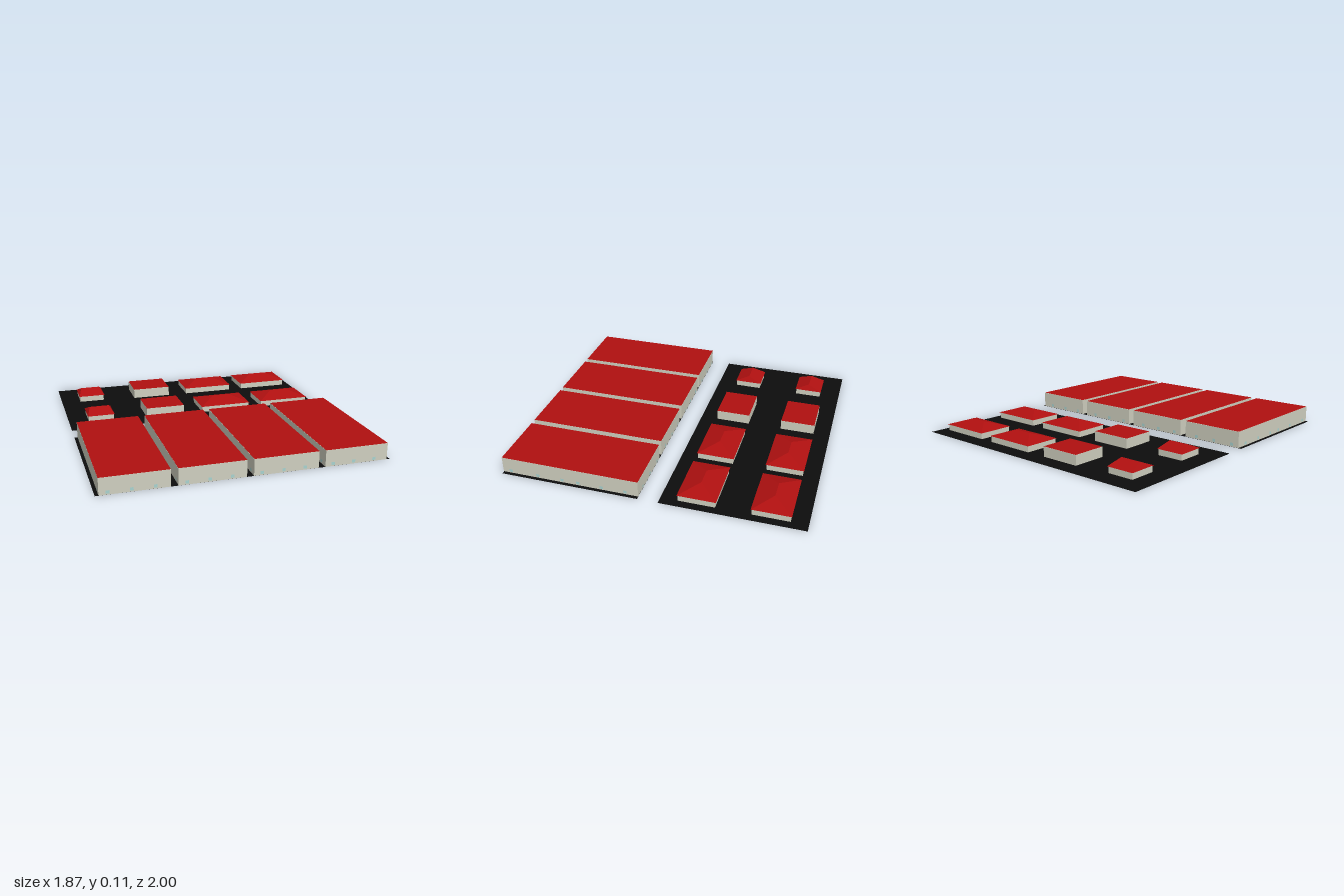
import * as THREE from 'three';

const mat = (color, side = THREE.FrontSide) =>
  new THREE.MeshStandardMaterial({ color, side, flatShading: true });

const wallMat = mat(0xd0d0c0);
const roofMat = mat(0xb01010);
const groundMat = mat(0x0d0d0d, THREE.DoubleSide);
const glassMat = mat(0xa9d3d0, THREE.DoubleSide);

function add(parent, name, geometry, material, x, y, z) {
  const mesh = new THREE.Mesh(geometry, material);
  mesh.name = name;
  mesh.position.set(x, y, z);
  parent.add(mesh);
  return mesh;
}

// Walls from just above the ground up to height h
function addWalls(parent, w, h, d) {
  add(parent, 'walls', new THREE.BoxGeometry(w, h - 0.001, d), wallMat, 0, (h + 0.001) / 2, 0);
}

function addFlatRoof(parent, w, h, d) {
  const roof = add(parent, 'flatRoof', new THREE.PlaneGeometry(w, d), roofMat, 0, h + 0.001, 0);
  roof.rotation.x = -Math.PI / 2;
}

// Hipped roof: a box whose top edge is squeezed into a ridge along x
function hipRoof(w, h, d, ridge) {
  const geo = new THREE.BoxGeometry(w, h, d);
  const p = geo.attributes.position;
  for (let i = 0; i < p.count; i++) {
    if (p.getY(i) > 0) {
      p.setX(i, Math.sign(p.getX(i)) * ridge / 2);
      p.setZ(i, 0);
    }
  }
  geo.computeVertexNormals();
  return geo;
}

function addPane(parent, x, z, turn) {
  const pane = add(parent, 'window', new THREE.PlaneGeometry(0.022, 0.02), glassMat, x, 0.018, z);
  pane.rotation.y = turn;
}

export function createModel() {
  const model = new THREE.Group();
  model.name = 'settlement';

  // Two flat ground plates
  for (const [name, z0, z1] of [['backGround', -1, -0.07], ['frontGround', 0.065, 0.997]]) {
    const plate = add(model, name, new THREE.PlaneGeometry(1.87, z1 - z0), groundMat, 0, 0, (z0 + z1) / 2);
    plate.rotation.x = -Math.PI / 2;
  }

  // Four long flat-roofed halls
  const hallW = 0.423, hallH = 0.11, hallD = 0.933;
  for (let i = 0; i < 4; i++) {
    const hall = new THREE.Group();
    hall.name = 'hall';
    hall.position.set(-0.702 + i * 0.4675, 0, 0.532);
    addWalls(hall, hallW, hallH, hallD);
    addFlatRoof(hall, hallW, hallH, hallD);
    // Small panes near the ground on every side
    for (const s of [-1, 1]) {
      for (const x of [-0.16, -0.02, 0.12])
        addPane(hall, x, s * (hallD / 2 + 0.001), 0);
      for (const z of [-0.38, -0.22, -0.06, 0.05, 0.22, 0.41])
        addPane(hall, s * (hallW / 2 + 0.001), z, Math.PI / 2);
    }
    model.add(hall);
  }

  // Two rows of small houses; ridge 0 means a flat roof
  const houses = [
    { x: -0.705, w: 0.193, d: 0.192, ridge: 0.14 },
    { x: -0.235, w: 0.28, d: 0.234, ridge: 0 },
    { x: 0.23, w: 0.376, d: 0.252, ridge: 0.126 },
    { x: 0.698, w: 0.376, d: 0.252, ridge: 0.126 },
  ];
  for (const z of [-0.77, -0.303]) {
    for (const { x, w, d, ridge } of houses) {
      const house = new THREE.Group();
      house.name = ridge ? 'hippedHouse' : 'flatHouse';
      house.position.set(x, 0, z);
      if (ridge) {
        addWalls(house, w - 0.012, 0.044, d - 0.012);
        add(house, 'hippedRoof', hipRoof(w, 0.04, d, ridge), roofMat, 0, 0.063, 0);
      } else {
        addWalls(house, w, 0.068, d);
        addFlatRoof(house, w, 0.068, d);
      }
      model.add(house);
    }
  }
  return model;
}
